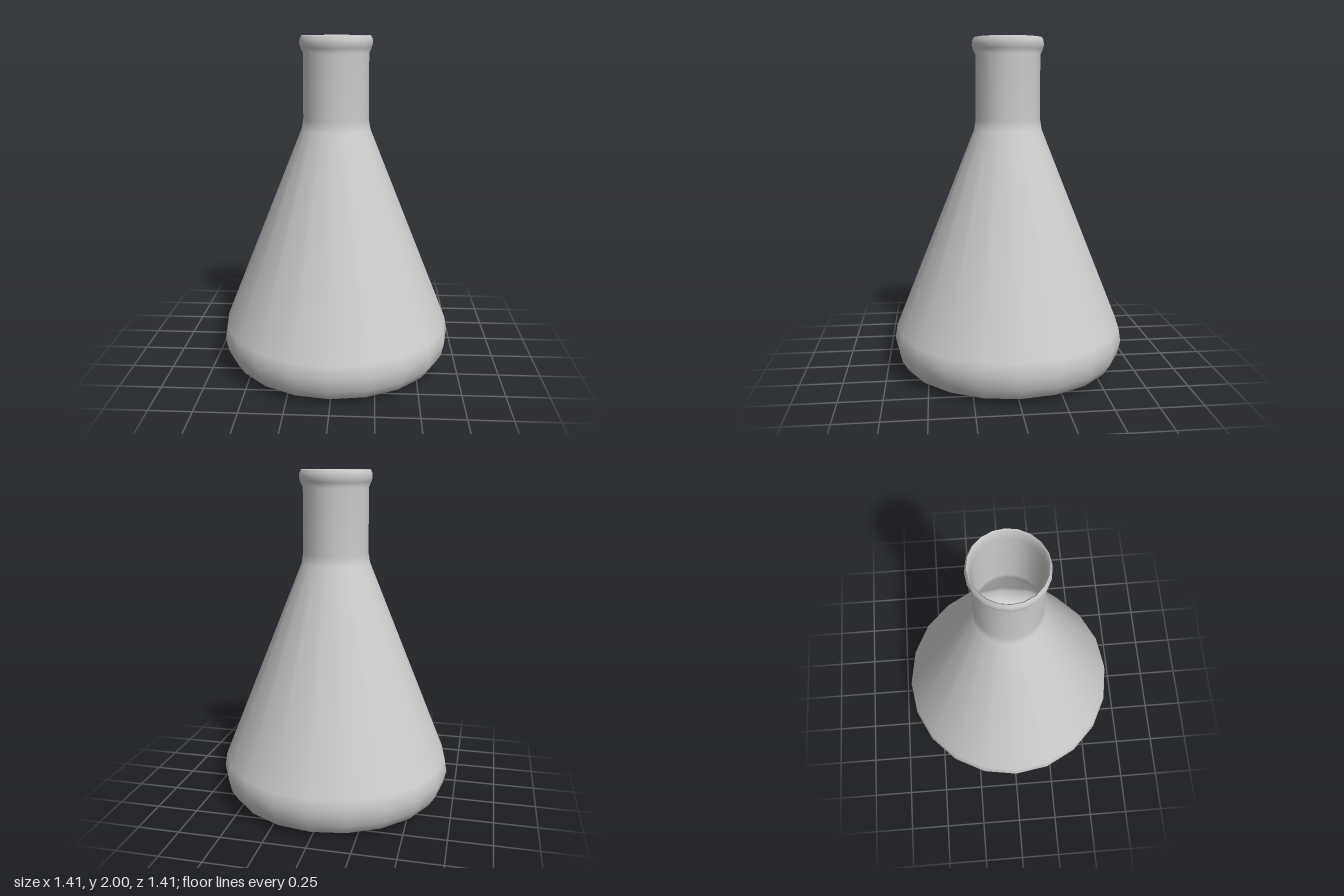
import * as THREE from 'three';

const SIDES = 20;

// Turned surface from [radius, height] pairs; rising profiles face outward, falling ones inward
function turned(name, profile, material) {
  const points = profile.map(([r, y]) => new THREE.Vector2(r, y));
  const mesh = new THREE.Mesh(new THREE.LatheGeometry(points, SIDES), material);
  mesh.name = name;
  return mesh;
}

export function createModel() {
  const group = new THREE.Group();
  group.name = 'conicalFlask';
  const glass = new THREE.MeshStandardMaterial({ color: 0xcccccc });
  glass.name = 'pale grey glass';

  // Base, rounded heel, cone, neck and rolled lip
  group.add(turned('outerWall', [
    [0, 0], [0.565, 0], [0.648, 0.04], [0.685, 0.1], [0.703, 0.18], [0.69, 0.26],
    [0.205, 1.46], [0.195, 1.52], [0.193, 1.9],
    [0.207, 1.93], [0.214, 1.955], [0.212, 1.98], [0.202, 2],
  ], glass));

  // Hollow inside, from the mouth down to the floor
  group.add(turned('innerWall', [
    [0.202, 2], [0.192, 1.985], [0.185, 1.93], [0.185, 1.52], [0.193, 1.46],
    [0.675, 0.26], [0.688, 0.18], [0.67, 0.1], [0.635, 0.05], [0.56, 0.015], [0, 0.015],
  ], glass));

  return group;
}
